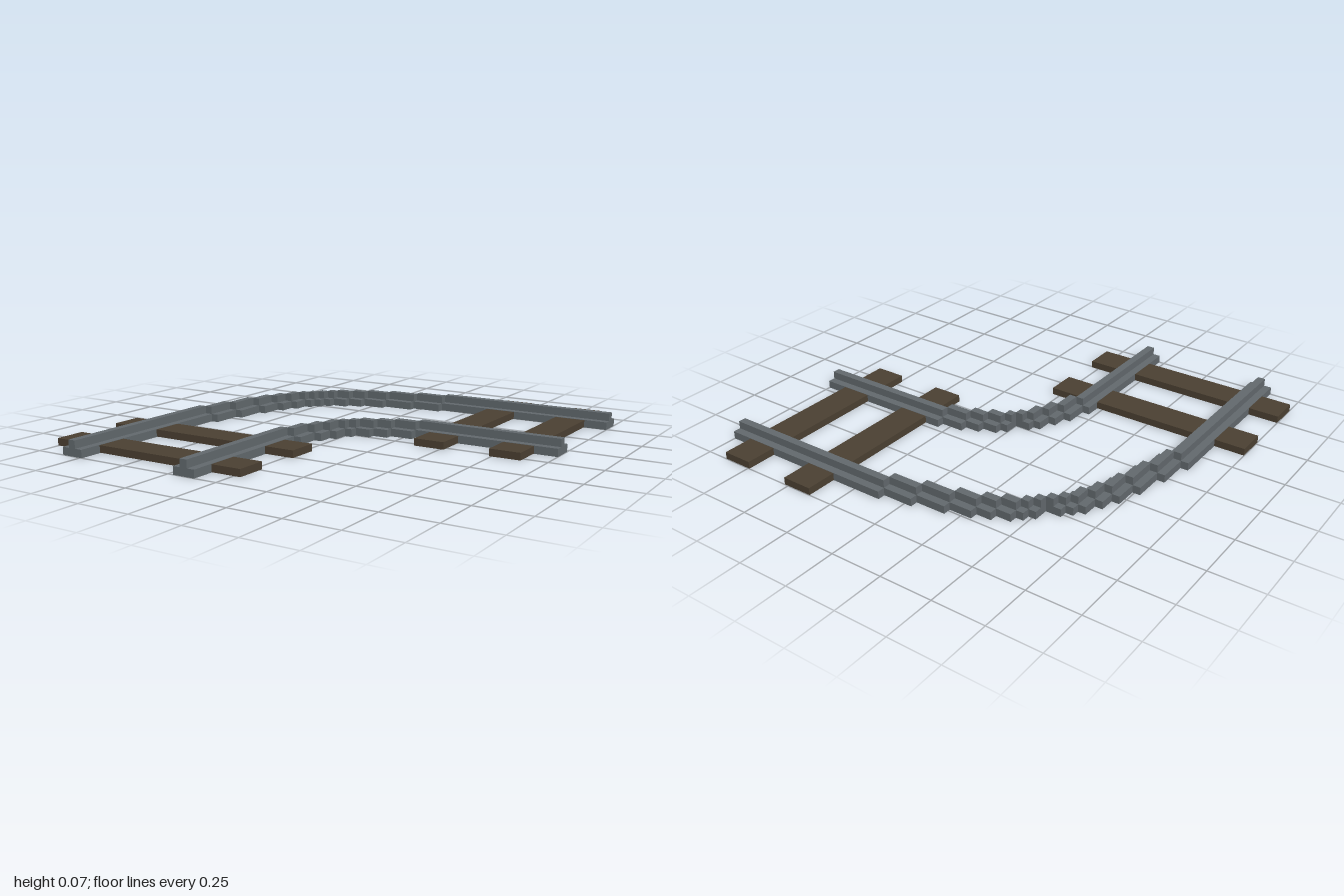
import * as THREE from 'three';

const U = 2 / 54; // one block of the 54 x 54 plan

// Box given by its block corner and its size in blocks; swap mirrors it across the x = z diagonal
function block(name, material, [x, y, z], [w, h, d], swap) {
  if (swap) [x, z, w, d] = [z, x, d, w];
  const mesh = new THREE.Mesh(new THREE.BoxGeometry(w * U, h * U, d * U), material);
  mesh.position.set((x + w / 2) * U - 1, (y + h / 2) * U, (z + d / 2) * U - 1);
  mesh.name = name;
  return mesh;
}

// Half a rail: starts[i] is where the run in column (first + i) begins; each run ends where the previous one starts
function halfRail(name, material, first, starts, swap) {
  const rail = new THREE.Group();
  rail.name = name;
  let end = 54;
  starts.forEach((start, i) => {
    const x = first + i;
    rail.add(block('railFoot', material, [x, 0, start], [3, 1, end - start], swap));
    rail.add(block('railHead', material, [x + 1, 1, start], [1, 1, end - start], swap));
    end = start;
  });
  return rail;
}

export function createModel() {
  const steel = new THREE.MeshStandardMaterial({ color: 0x62696d });
  steel.name = 'steel grey';
  const wood = new THREE.MeshStandardMaterial({ color: 0x4b4032 });
  wood.name = 'dark wood';

  const track = new THREE.Group();
  track.name = 'curvedTrack';
  for (const swap of [false, true]) {
    // Stepped rails, straight at the end and shortening towards the diagonal
    track.add(halfRail('outerRail', steel, 4, [30, 26, 22, 19, 17, 15, 14, 13], swap));
    track.add(halfRail('innerRail', steel, 21, [35, 32, 30, 28, 27], swap));
    // Sleepers, a hair thinner than the rail feet that cross them
    for (const z of [37, 47]) {
      track.add(block('sleeper', wood, [0, 0.04, z], [28, 0.92, 4], swap));
    }
  }
  return track;
}
